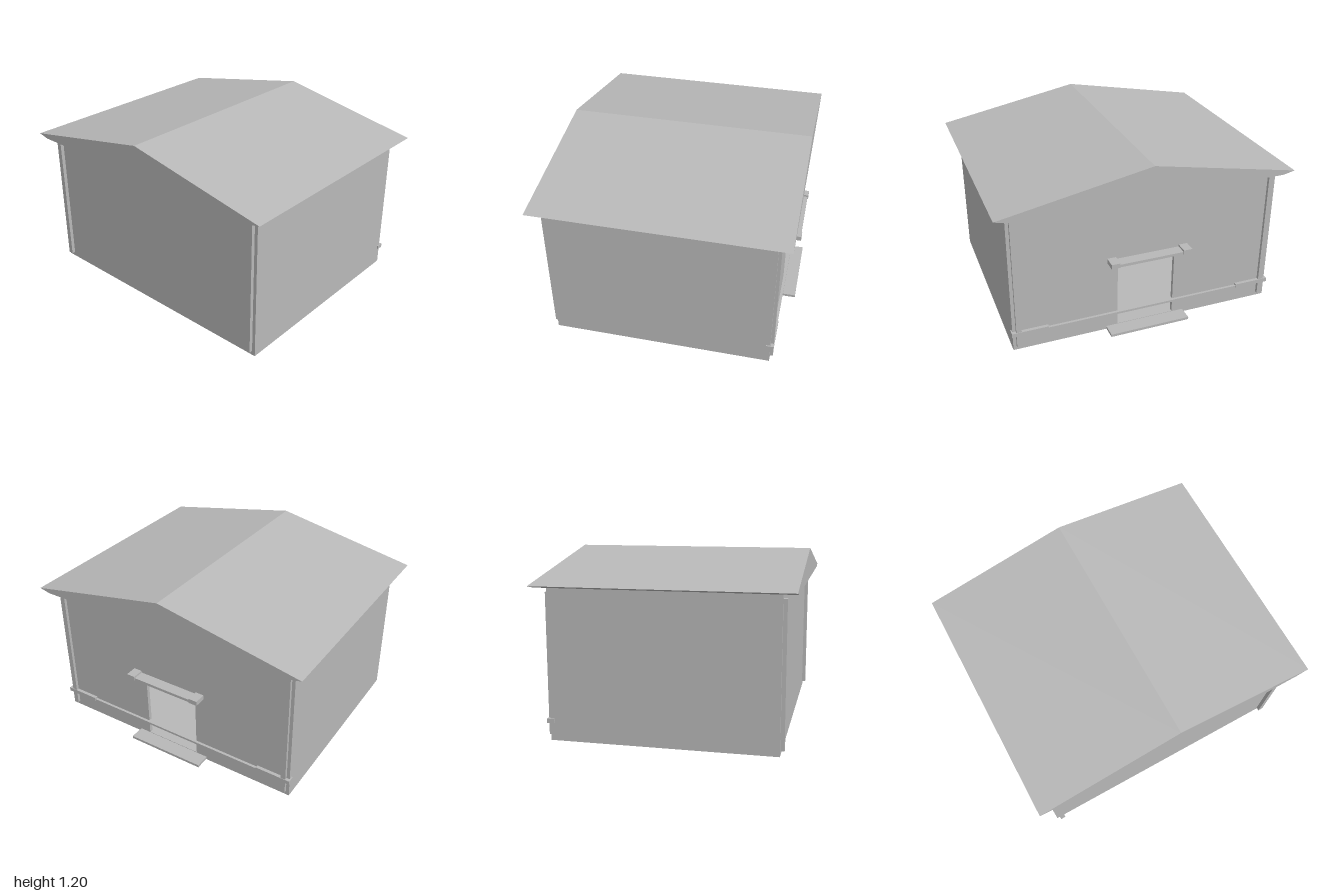
import * as THREE from 'three';

export function createModel() {
  const group = new THREE.Group();
  group.name = 'shed';
  const grey = new THREE.MeshStandardMaterial({ color: 0xb8b8b8 });
  grey.name = 'plain grey';

  function add(name, geometry) {
    const mesh = new THREE.Mesh(geometry, grey);
    mesh.name = name;
    group.add(mesh);
    return mesh;
  }

  // Box given by its limits on each axis
  function block(name, [x0, x1], [y0, y1], [z0, z1]) {
    const mesh = add(name, new THREE.BoxGeometry(x1 - x0, y1 - y0, z1 - z0));
    mesh.position.set((x0 + x1) / 2, (y0 + y1) / 2, (z0 + z1) / 2);
  }

  // Outline in x and y, extruded between two depths
  function slab(name, points, z0, z1) {
    const shape = new THREE.Shape(points.map(([x, y]) => new THREE.Vector2(x, y)));
    const geometry = new THREE.ExtrudeGeometry(shape, { depth: z1 - z0, bevelEnabled: false });
    add(name, geometry.translate(0, 0, z0));
  }

  const W = 0.917, H = 0.985, BACK = -0.73, FRONT = 0.74, T = 0.025;

  // Hollow body: floor, front wall, side walls, back wall with a doorway
  block('floor', [-W, W], [0, T], [BACK, FRONT]);
  block('frontWall', [-W, W], [T, H], [FRONT - T, FRONT]);
  slab('backWall', [
    [-W, T], [-0.2, T], [-0.2, 0.51], [0.2, 0.51], [0.2, T], [W, T], [W, H], [-W, H],
  ], BACK, BACK + T);

  // Solid gable roof with tapered eaves
  slab('roof', [[-W, H], [W, H], [1, 1.003], [0, 1.195], [-1, 1.003]], -0.82, 0.83);

  // Doorstep, canopy plank and back rail
  block('doorstep', [-0.28, 0.28], [0.004, 0.022], [-0.83, BACK]);
  block('canopyPlank', [-0.22, 0.22], [0.531, 0.55], [-0.825, -0.749]);
  block('backRail', [-0.68, 0.68], [0.115, 0.13], [-0.748, -0.703]);

  for (const s of [-1, 1]) {
    const side = s > 0 ? 'left' : 'right';
    const span = (a, b) => (s > 0 ? [a, b] : [-b, -a]);
    block(side + 'Wall', span(W - T, W), [T, H], [BACK + T, FRONT - T]);
    // Corner boards
    block(side + 'FrontBoard', span(0.86, 0.895), [0.03, 0.957], [FRONT, 0.765]);
    block(side + 'BackBoard', span(0.86, 0.895), [0.03, 0.957], [-0.75, BACK]);
    // Raised ends of canopy and rail
    block(side + 'CanopyEnd', span(0.22, 0.28), [0.531, 0.563], [-0.83, -0.749]);
    block(side + 'RailEnd', span(0.68, 0.925), [0.115, 0.143], [-0.753, -0.703]);
  }
  return group;
}
